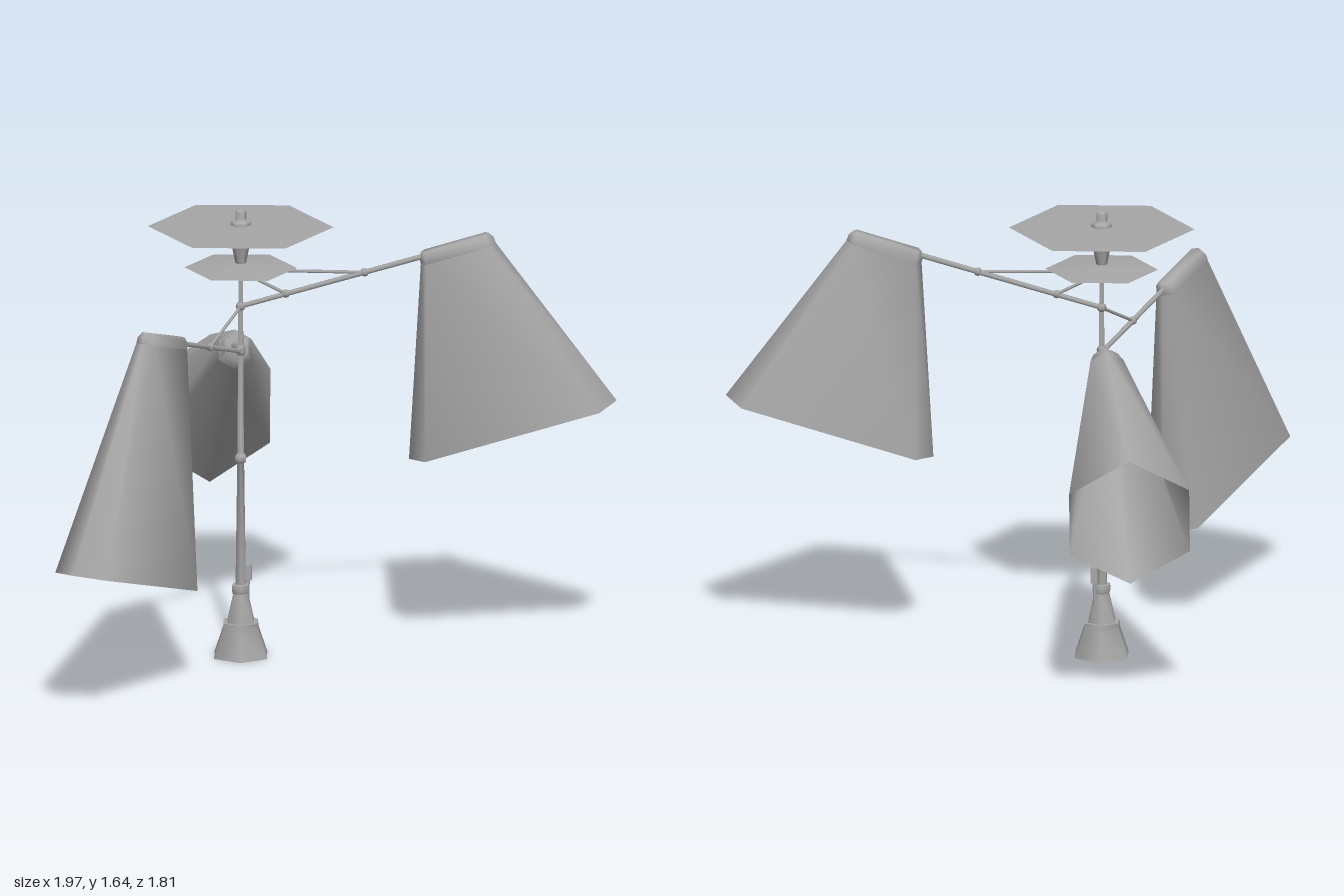
import * as THREE from 'three';
import { toCreasedNormals } from 'three/addons/utils/BufferGeometryUtils.js';

const CREASE = 1.15; // softens the six-sided parts, keeps sharp rims
const V = (x, y, z) => new THREE.Vector3(x, y, z);

export function createModel() {
  const metal = new THREE.MeshStandardMaterial({ color: 0xa6a6a6, side: THREE.DoubleSide });
  metal.name = 'greyMetal';

  const model = new THREE.Group();
  model.name = 'floorLamp';
  const lamp = new THREE.Group();
  lamp.name = 'lampBody';
  lamp.position.set(-0.35, 0, -0.087);
  model.add(lamp);

  const add = (parent, name, geometry) => {
    const mesh = new THREE.Mesh(geometry, metal);
    mesh.name = name;
    parent.add(mesh);
    return mesh;
  };

  // Six-sided turned part from [radius, height] pairs, bottom to top
  const turned = (name, profile, turn = 0) => {
    const g = new THREE.LatheGeometry(profile.map(([r, y]) => new THREE.Vector2(r, y)), 6);
    add(lamp, name, toCreasedNormals(g, CREASE)).rotation.y = turn;
  };

  // Tapered rod between two points
  const rod = (parent, name, a, b, r0, r1 = r0) => {
    const dir = b.clone().sub(a);
    const mesh = add(parent, name, new THREE.CylinderGeometry(r1, r0, dir.length(), 6));
    mesh.position.copy(a).add(b).multiplyScalar(0.5);
    mesh.quaternion.setFromUnitVectors(V(0, 1, 0), dir.normalize());
  };

  const knob = (parent, name, p, r) =>
    add(parent, name, new THREE.SphereGeometry(r, 6, 4)).position.copy(p);

  // Skin between successive rings; an optional tip closes the last ring
  const loft = (rings, tip) => {
    const pos = [];
    const tri = (...pts) => pts.forEach((p) => pos.push(p.x, p.y, p.z));
    rings.forEach((ring, k) => {
      const next = rings[k + 1];
      ring.forEach((p, i) => {
        const j = (i + 1) % ring.length;
        if (next) {
          tri(p, next[j], ring[j]);
          tri(p, next[i], next[j]);
        } else if (tip) tri(p, tip, ring[j]);
      });
    });
    const g = new THREE.BufferGeometry();
    g.setAttribute('position', new THREE.Float32BufferAttribute(pos, 3));
    return toCreasedNormals(g, CREASE);
  };

  // Stretched hexagon with pointed ends
  const longHex = (l, w, y) => {
    const s = l - 0.577 * w;
    return [V(l, y, 0), V(s, y, w), V(-s, y, w), V(-l, y, 0), V(-s, y, -w), V(s, y, -w)];
  };

  // Base, collar and pole
  turned('base', [[0, 0], [0.108, 0], [0.072, 0.1], [0.07, 0.125], [0, 0.125]]);
  turned('neck', [[0.056, 0.12], [0.028, 0.235]]);
  turned('collar', [[0, 0.23], [0.032, 0.23], [0.036, 0.245], [0.032, 0.262], [0, 0.265]]);
  turned('pole', [[0.021, 0.26], [0.014, 0.71], [0.022, 0.715], [0.022, 0.735],
    [0.013, 0.745], [0.009, 1.44]]);
  turned('poleCollar', [[0.01, 1.395], [0.017, 1.405], [0.017, 1.425], [0.01, 1.43]]);

  // Switch on a thin stalk
  rod(lamp, 'switchStalk', V(0.02, 0.12, -0.018), V(0.026, 0.29, -0.02), 0.008);
  add(lamp, 'switch', new THREE.BoxGeometry(0.026, 0.055, 0.042)).position.set(0.026, 0.303, -0.02);

  // Stacked plates, vase and finial at the top
  const turn = Math.PI / 6;
  turned('lowerPlate', [[0, 1.427], [0.2, 1.428], [0.03, 1.446], [0, 1.447]], turn);
  turned('vase', [[0.018, 1.44], [0.032, 1.51], [0.047, 1.56], [0.047, 1.578]], turn);
  turned('upperPlate', [[0, 1.572], [0.05, 1.574], [0.33, 1.579], [0.05, 1.584], [0, 1.586]], turn);
  turned('finial', [[0.036, 1.58], [0.036, 1.597], [0.02, 1.606], [0.02, 1.636], [0.012, 1.643],
    [0, 1.643]], turn);

  // Two long-shaded arms swung around the pole
  const arms = [
    { name: 'leftArm', turn: 0, foot: 1.286, brace: 1.415, node: [0.16, 1.334],
      end: [0.65, 1.475], cap: [0.773, 1.486], drop: 0.677, stay: [0.44, 1.414] },
    { name: 'frontArm', turn: -Math.PI * 2 / 3, foot: 1.12, brace: 1.285, node: [0.208, 1.185],
      end: [0.42, 1.25], cap: [0.539, 1.266], drop: 0.845 },
  ];
  for (const a of arms) {
    const arm = new THREE.Group();
    arm.name = a.name;
    arm.rotation.y = a.turn;
    lamp.add(arm);
    const node = V(...a.node, 0);
    rod(arm, 'armRod', V(0, a.foot, 0), V(...a.end, 0), 0.009, 0.01);
    rod(arm, 'brace', V(0, a.brace, 0), node, 0.006);
    knob(arm, 'braceKnob', node, 0.016);
    knob(arm, 'poleKnob', V(0, a.foot, 0), 0.018);
    if (a.stay) {
      rod(arm, 'stay', V(0, 1.42, 0), V(...a.stay, 0), 0.006);
      knob(arm, 'stayKnob', V(...a.stay, 0), 0.016);
    }
    const head = new THREE.Group();
    head.name = 'lampHead';
    head.position.set(...a.cap, 0);
    head.rotation.z = 0.29;
    arm.add(head);
    add(head, 'shade', loft([longHex(0.385, 0.107, -a.drop), longHex(0.139, 0.037, 0)]));
    add(head, 'shadeCap', loft([longHex(0.139, 0.037, 0), longHex(0.138, 0.035, 0.022),
      longHex(0.126, 0.022, 0.042)], V(0, 0.042, 0)));
  }

  // Rear head with a six-sided flared shade
  const rear = new THREE.Group();
  rear.name = 'rearHead';
  lamp.add(rear);
  const hex = (c, s) => Array.from({ length: 6 }, (_, i) => {
    const t = i * Math.PI / 3;
    return c.clone()
      .addScaledVector(V(0, 0.25, -0.08), s * Math.cos(t))
      .addScaledVector(V(0.245, 0, -0.04), s * Math.sin(t));
  });
  const mouth = V(-0.125, 0.707, -0.728), top = V(-0.023, 1.095, -0.113), back = V(-0.017, 1.115, -0.079);
  add(rear, 'shade', loft([hex(mouth, 1), hex(top, 0.27)]));
  add(rear, 'shadeCap', loft([hex(top, 0.27), hex(back, 0.2)], back));
  rod(rear, 'armRod', V(0, 1.13, 0), back, 0.014, 0.02);
  knob(rear, 'poleKnob', V(0, 1.13, 0), 0.018);

  return model;
}
